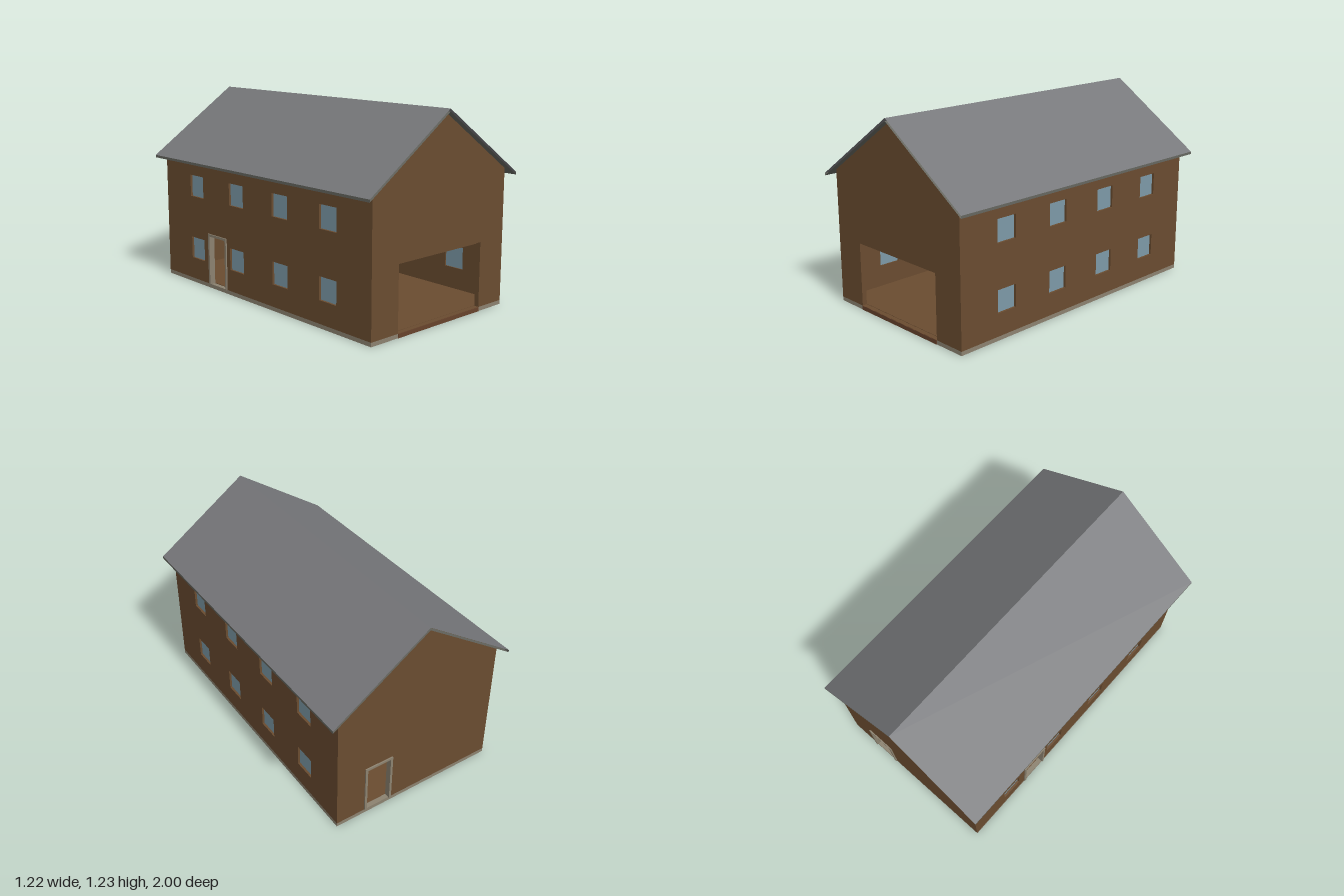
import * as THREE from 'three';

const mat = (name, color, side = THREE.FrontSide) => {
  const m = new THREE.MeshStandardMaterial({ color, side });
  m.name = name;
  return m;
};

export function createModel() {
  const wood = mat('brown wood', 0x6a4c30);
  const roofGrey = mat('roof grey', 0x77787b, THREE.DoubleSide);
  const underGrey = mat('underside grey', 0x65665f, THREE.DoubleSide);
  const stone = mat('tan stone', 0x8c8270);
  const glass = mat('window blue', 0x7d9aa8);
  const sill = mat('threshold brown', 0x68432c);

  const W = 0.55, L = 0.96, T = 0.03, BASE = 0.025, EAVE = 0.848, RIDGE = 1.21;
  const model = new THREE.Group();
  model.name = 'barn';

  const add = (name, geo, material, parent = model) => {
    const mesh = new THREE.Mesh(geo, material);
    mesh.name = name;
    parent.add(mesh);
    return mesh;
  };
  const box = (name, w, h, d, x, y, z, material, parent) => {
    const mesh = add(name, new THREE.BoxGeometry(w, h, d), material, parent);
    mesh.position.set(x, y, z);
    return mesh;
  };
  const extrude = (points, holes, depth) => {
    const shape = new THREE.Shape(points.map(p => new THREE.Vector2(...p)));
    for (const [x, y, s] of holes) {
      const h = s / 2;
      shape.holes.push(new THREE.Path([[x - h, y - h], [x - h, y + h], [x + h, y + h], [x + h, y - h]]
        .map(p => new THREE.Vector2(...p))));
    }
    return new THREE.ExtrudeGeometry(shape, { depth, bevelEnabled: false });
  };
  // Doorway notch cut up from the bottom edge of a wall
  const notch = (a, b, top) => [[a, BASE], [a, top], [b, top], [b, BASE]];
  // Frame around a doorway
  const doorFrame = (a, b, top, f) => extrude([
    [a, BASE], [a + f, BASE], [a + f, top - f], [b - f, top - f],
    [b - f, BASE], [b, BASE], [b, top], [a, top]], [], 0.038);

  // Base and floors
  box('foundation', 2 * W, BASE, 2 * L, 0, BASE / 2, 0, stone);
  box('groundFloor', 2 * (W - T), 0.006, 2 * (L - T), 0, BASE, 0, wood);
  box('doorwayFloor', 0.69, 0.006, T, 0, BASE - 0.002, L - T / 2, wood);
  box('threshold', 0.69, BASE, 0.004, 0, BASE / 2, L + 0.001, sill);
  add('upperFloor', new THREE.BoxGeometry(2 * (W - T), 0.025, 2 * (L - T)),
    [wood, wood, wood, underGrey, wood, wood]).position.y = 0.4175;
  box('atticFloor', 2 * (W - T), 0.014, 2 * (L - T), 0, 0.838, 0, wood);

  // Gable walls
  const gable = cut => [[-W, BASE], ...cut, [W, BASE], [W, EAVE], [0, RIDGE], [-W, EAVE]];
  add('frontWall', extrude(gable(notch(-0.345, 0.345, 0.42)), [], T), wood).position.z = L - T;
  add('backWall', extrude(gable(notch(0.17, 0.36, 0.355)), [], T), wood).position.z = -L;
  add('backDoorFrame', doorFrame(0.17, 0.36, 0.355, 0.015), stone).position.z = -L - 0.008;

  // Side walls with two rows of recessed windows; the right side of the model has a door
  const S = 0.139;
  const windows = [];
  for (const y of [0.2325, 0.6415])
    for (const z of [-0.62, -0.2075, 0.2075, 0.62]) windows.push([z, y, S]);
  for (const s of [-1, 1]) {
    const side = new THREE.Group();
    side.name = s < 0 ? 'rightSide' : 'leftSide';
    side.rotation.y = -Math.PI / 2;
    side.position.x = s < 0 ? -W + T : W;
    model.add(side);
    const e = L - T;
    const cut = s < 0 ? notch(-0.5, -0.31, 0.355) : [];
    add('sideWall', extrude([[-e, BASE], ...cut, [e, BASE], [e, EAVE], [-e, EAVE]], windows, T), wood, side);
    for (const [z, y] of windows)
      box('windowPane', S, S, 0.008, z, y, s < 0 ? T - 0.018 : 0.018, glass, side);
    if (s < 0) add('sideDoorFrame', doorFrame(-0.5, -0.31, 0.355, 0.015), stone, side);
  }

  // Roof: two thin layers per slope, open at the gable ends, closed along the eaves
  const sheet = (name, x0, y0, x1, y1, material) => {
    const geo = new THREE.PlaneGeometry(1, 2);
    const p = geo.attributes.position;
    for (let i = 0; i < 4; i++) {
      const outer = p.getX(i) > 0;
      p.setXYZ(i, outer ? x1 : x0, outer ? y1 : y0, x1 < 0 || x0 < 0 ? p.getY(i) : -p.getY(i));
    }
    geo.computeVertexNormals();
    // Turn any downward sheet face up
    if (geo.attributes.normal.getY(0) < -0.01) {
      geo.setIndex([...geo.index.array].reverse());
      geo.computeVertexNormals();
    }
    add(name, geo, material);
  };
  for (const s of [-1, 1]) {
    sheet('roofTop', 0, 1.227, s * 0.61, 0.81, roofGrey);
    sheet('roofUnderside', 0, 1.21, s * 0.61, 0.794, underGrey);
    sheet('eaveBoard', s * 0.61, 0.81, s * 0.6101, 0.794, underGrey);
  }
  return model;
}
